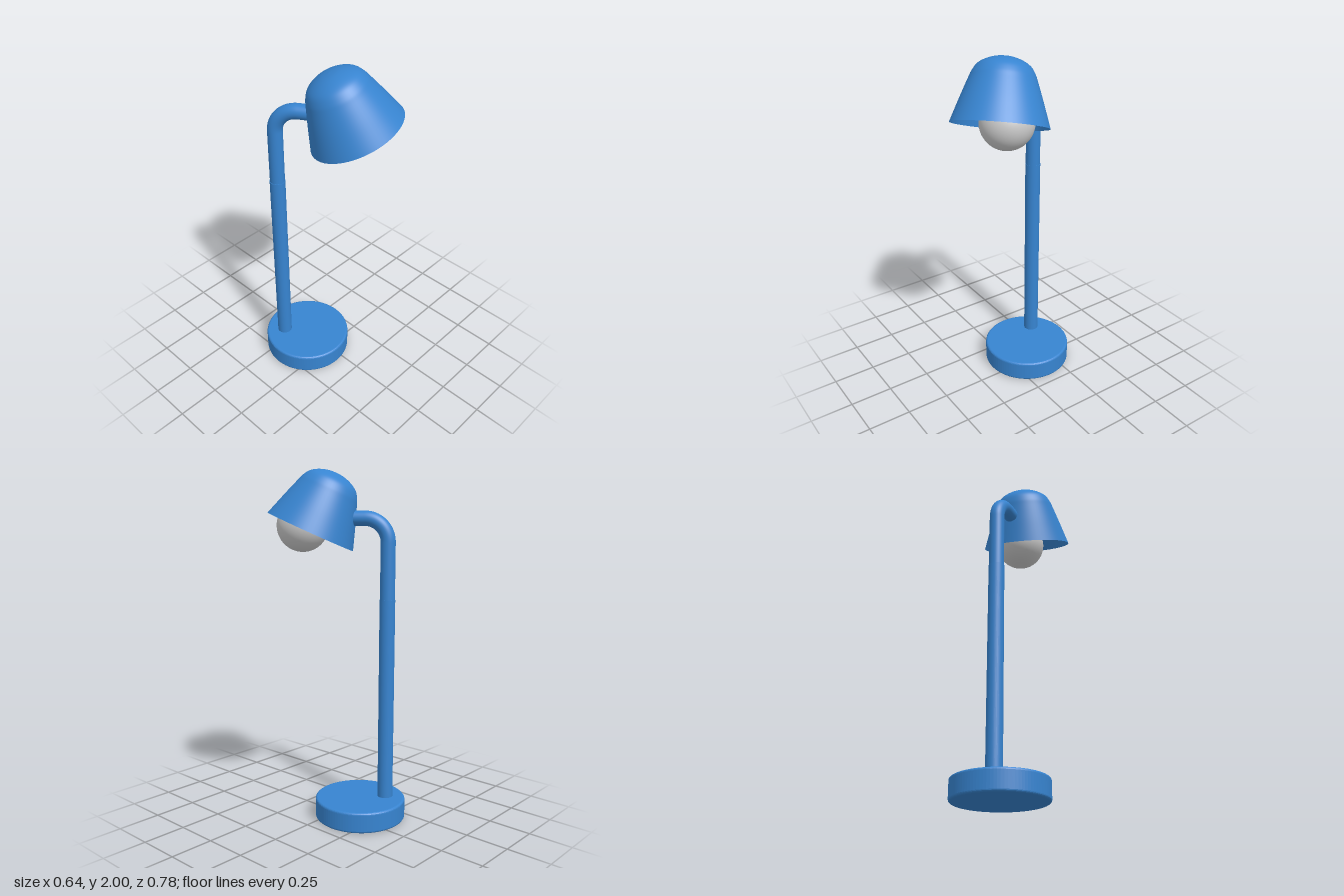
import * as THREE from 'three';

export function createModel() {
  const lamp = new THREE.Group();
  lamp.name = 'deskLamp';
  const blue = new THREE.MeshStandardMaterial({ color: 0x3784d0 });
  const blueThin = new THREE.MeshStandardMaterial({ color: 0x3784d0, side: THREE.DoubleSide });
  const grey = new THREE.MeshStandardMaterial({ color: 0xcccccc });

  const add = (name, geometry, material, x = 0, y = 0, z = 0) => {
    const mesh = new THREE.Mesh(geometry, material);
    mesh.name = name;
    mesh.position.set(x, y, z);
    lamp.add(mesh);
    return mesh;
  };

  // Round base: a disc with softened edges
  const R = 0.248, H = 0.12, b = 0.013;
  const disc = new THREE.Shape().absarc(0, 0, R, 0, Math.PI * 2);
  const baseGeo = new THREE.ExtrudeGeometry(disc, {
    depth: H - 2 * b, bevelThickness: b, bevelSize: b, bevelSegments: 4, curveSegments: 48,
  });
  baseGeo.rotateX(-Math.PI / 2);
  add('base', baseGeo, blue, -0.06, b, -0.132);

  // Lower post, a touch thicker than the bent tube above it
  const px = -0.161, pz = -0.238, joint = 1.28;
  add('lowerPost', new THREE.CylinderGeometry(0.044, 0.044, joint - 0.1, 32), blue, px, (joint + 0.1) / 2, pz);

  // Upper post bending over towards the shade
  const heading = Math.PI / 6, armY = 1.73, bend = 0.13, reach = 0.212;
  const at = (d, y) => new THREE.Vector3(px + d * Math.sin(heading), y, pz + d * Math.cos(heading));
  const path = new THREE.CurvePath();
  path.add(new THREE.LineCurve3(at(0, joint - 0.02), at(0, armY - bend)));
  const k = bend * 0.448;
  path.add(new THREE.CubicBezierCurve3(at(0, armY - bend), at(0, armY - k), at(k, armY), at(bend, armY)));
  path.add(new THREE.LineCurve3(at(bend, armY), at(reach, armY)));
  add('arm', new THREE.TubeGeometry(path, 80, 0.042, 32), blue);

  // Bell-shaped shade, tilted so that it opens forwards and to the left
  const profile = new THREE.SplineCurve([
    [0.262, 0], [0.238, 0.07], [0.212, 0.145], [0.181, 0.23], [0.165, 0.27],
    [0.14, 0.307], [0.1, 0.333], [0.05, 0.35], [0, 0.355],
  ].map(([r, y]) => new THREE.Vector2(r, y))).getPoints(40);
  profile[40].x = 0;
  const shade = add('shade', new THREE.LatheGeometry(profile, 64), blueThin, 0.065, 1.654, 0.139);
  const axis = new THREE.Vector3(-0.29, 0.912, -0.29).normalize();
  shade.quaternion.setFromUnitVectors(new THREE.Vector3(0, 1, 0), axis);

  // Globe bulb
  add('bulb', new THREE.SphereGeometry(0.145, 48, 32), grey, 0.128, 1.69, 0.137);

  return lamp;
}
